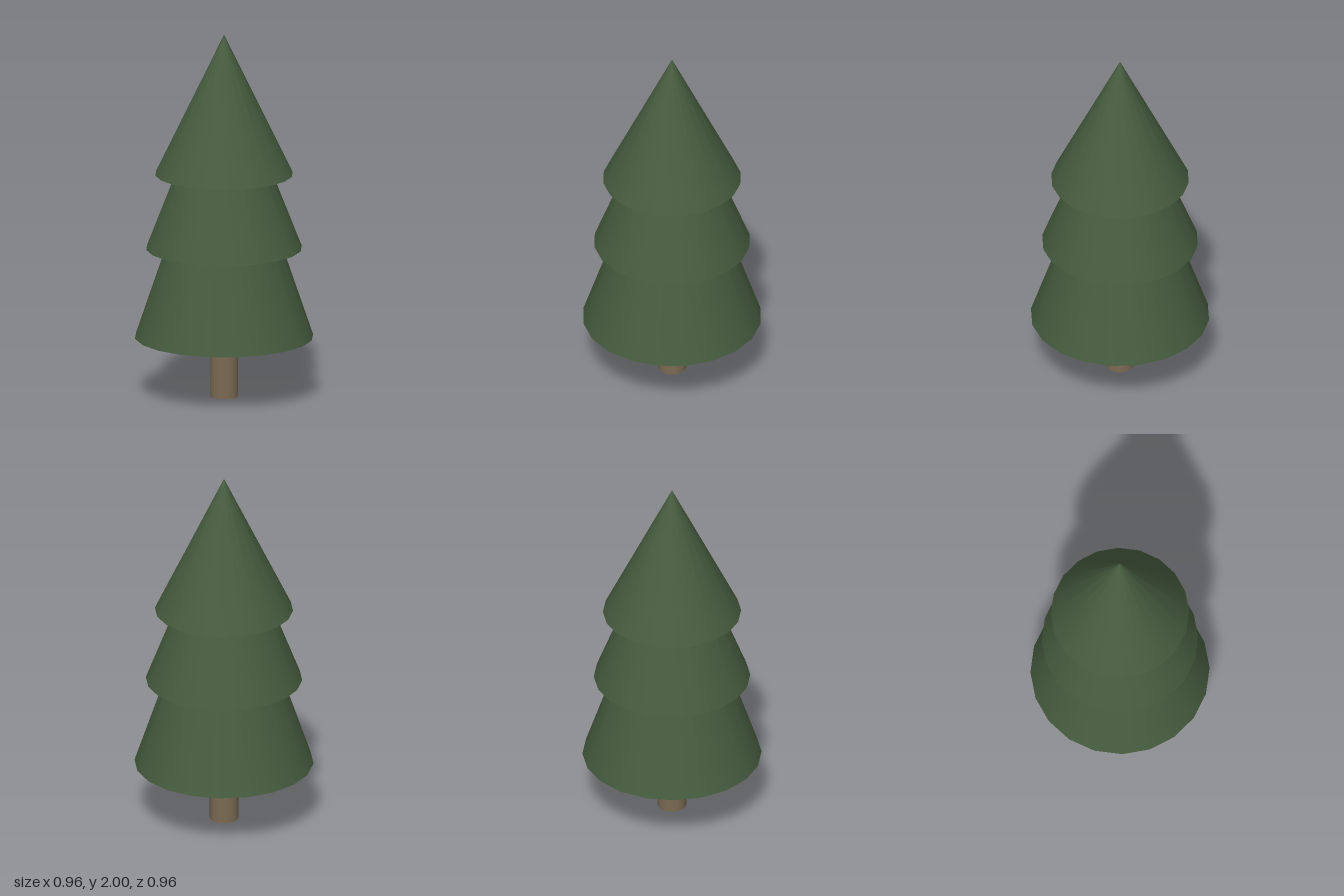
import * as THREE from 'three';

export function createModel() {
  const tree = new THREE.Group();
  tree.name = 'pineTree';
  const needles = new THREE.MeshStandardMaterial({ color: 0x465c3f });
  const bark = new THREE.MeshStandardMaterial({ color: 0x7a6a52 });

  // Trunk, running up into the lowest tier
  const trunkHeight = 0.5;
  const trunk = new THREE.Mesh(new THREE.CylinderGeometry(0.077, 0.077, trunkHeight, 20), bark);
  trunk.name = 'trunk';
  trunk.position.y = trunkHeight / 2;
  tree.add(trunk);

  // Three nested cones of foliage: base radius, base height, tip height
  const tiers = [
    ['lowerFoliage', 0.482, 0.33, 1.75],
    ['middleFoliage', 0.421, 0.82, 1.9],
    ['upperFoliage', 0.372, 1.23, 2],
  ];
  for (const [name, radius, base, tip] of tiers) {
    const cone = new THREE.Mesh(new THREE.ConeGeometry(radius, tip - base, 20), needles);
    cone.name = name;
    cone.position.y = (base + tip) / 2;
    tree.add(cone);
  }
  return tree;
}
